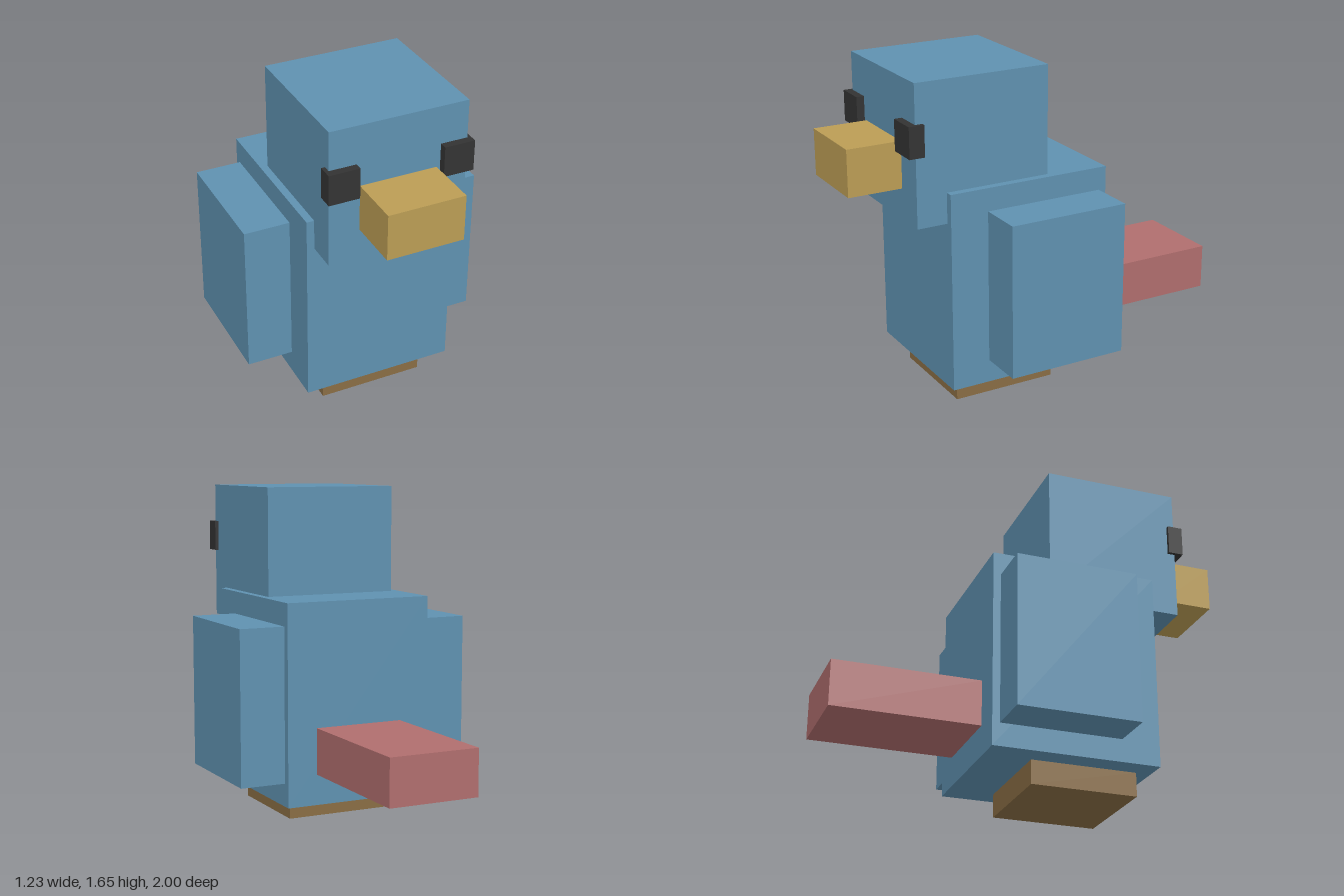
import * as THREE from 'three';

const material = (name, color) => {
  const m = new THREE.MeshStandardMaterial({ color });
  m.name = name;
  return m;
};

export function createModel() {
  const group = new THREE.Group();
  group.name = 'blockBird';

  const blue = material('feather blue', 0x5f91b0);
  const gold = material('beak gold', 0xbb9d55);
  const red = material('tail red', 0xb06e6e);
  const brown = material('feet brown', 0x896d44);
  const black = material('eye black', 0x333333);

  // Box given by its extents along each axis
  const block = (name, mat, [x0, x1], [y0, y1], [z0, z1]) => {
    const mesh = new THREE.Mesh(new THREE.BoxGeometry(x1 - x0, y1 - y0, z1 - z0), mat);
    mesh.position.set((x0 + x1) / 2, (y0 + y1) / 2, (z0 + z1) / 2);
    mesh.name = name;
    group.add(mesh);
  };

  // Centre line
  block('feet', brown, [-0.268, 0.268], [0, 0.12], [-0.035, 0.502]);
  block('body', blue, [-0.383, 0.383], [0.12, 1.117], [-0.268, 0.577]);
  block('head', blue, [-0.345, 0.345], [0.965, 1.655], [0.04, 0.73]);
  block('beak', gold, [-0.192, 0.192], [1.118, 1.348], [0.73, 1]);
  block('tail', red, [-0.23, 0.23], [0.272, 0.502], [-1, -0.268]);

  // Mirrored wings and eyes
  for (const [side, s] of [['left', 1], ['right', -1]]) {
    const span = (a, b) => (s > 0 ? [a, b] : [-b, -a]);
    block(side + 'Wing', blue, span(0.383, 0.613), [0.235, 1.002], [-0.23, 0.383]);
    block(side + 'Eye', black, span(0.21, 0.363), [1.31, 1.463], [0.692, 0.769]);
  }
  return group;
}
